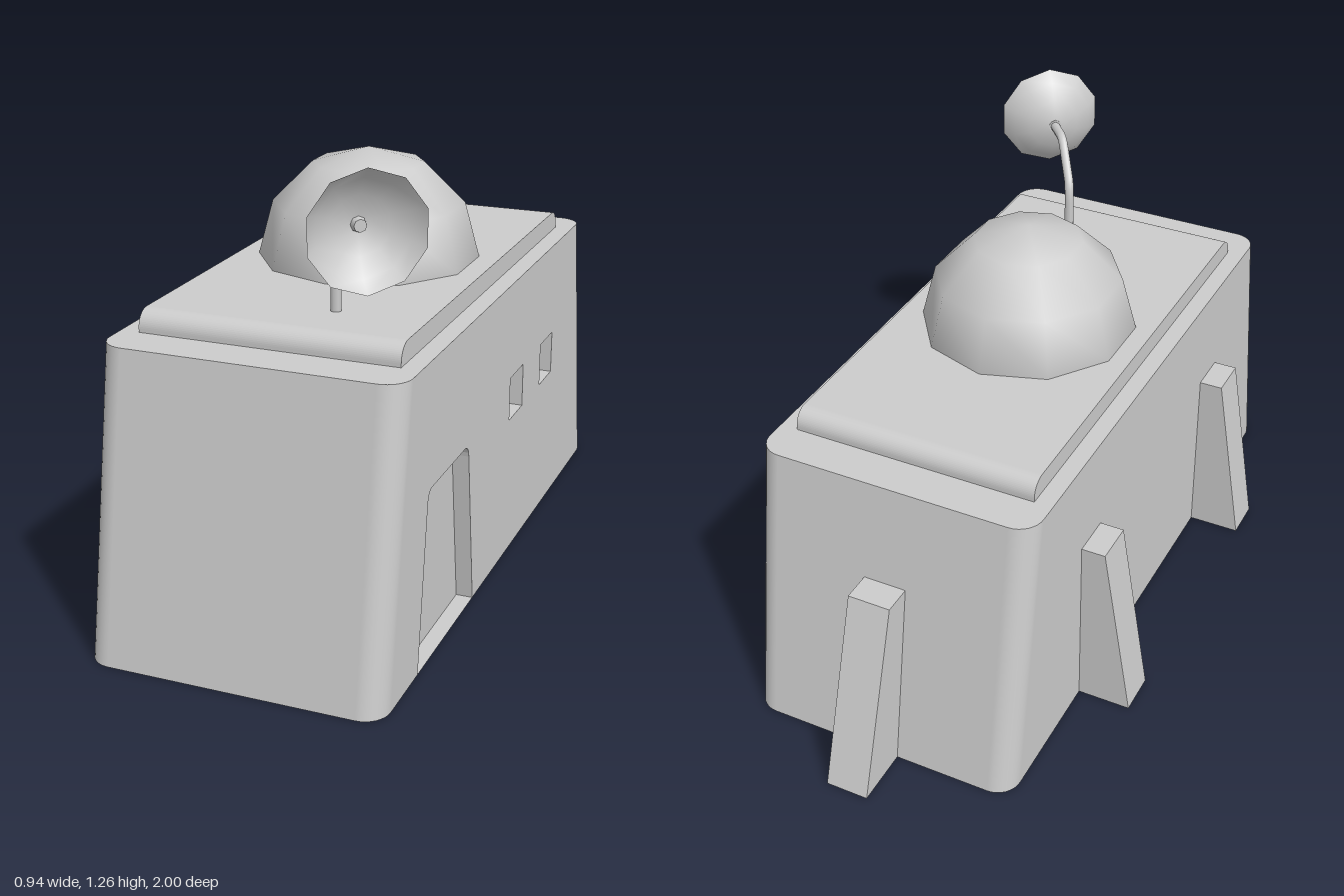
import * as THREE from 'three';

const grey = new THREE.MeshStandardMaterial({ color: 0xcccccc });
const greyDouble = new THREE.MeshStandardMaterial({ color: 0xcccccc, side: THREE.DoubleSide });

// Main building: rounded plan, front and back walls lean inward with height
const LEFT = 0.465, RIGHT = -0.32, H = 0.79, R = 0.065;
const frontZ = y => 1.0 - 0.13 * y / H;
const backZ = y => -0.84 + 0.14 * y / H;

function part(name, geometry, material = grey) {
  const mesh = new THREE.Mesh(geometry, material);
  mesh.name = name;
  return mesh;
}

const polygon = pts => new THREE.Shape(pts.map(p => new THREE.Vector2(...p)));

// Plan outline at height y as [x, z], running from the left wall round the front, right and back
function outline(y) {
  const corners = [
    [LEFT - R, frontZ(y) - R], [RIGHT + R, frontZ(y) - R],
    [RIGHT + R, backZ(y) + R], [LEFT - R, backZ(y) + R]];
  const pts = [];
  corners.forEach(([cx, cz], c) => {
    for (let i = 0; i <= 8; i++) {
      const a = (c + i / 8) * Math.PI / 2;
      pts.push([cx + R * Math.cos(a), cz + R * Math.sin(a)]);
    }
  });
  return pts;
}

// Walls other than the left one, lofted between the lower and upper outlines
function shellGeometry() {
  const low = outline(0), high = outline(H), pos = [], index = [];
  low.forEach((p, i) => {
    pos.push(p[0], 0, p[1], high[i][0], H, high[i][1]);
    if (i > 0) {
      const a = 2 * (i - 1), b = 2 * i;
      index.push(a, a + 1, b, b, a + 1, b + 1);
    }
  });
  const g = new THREE.BufferGeometry();
  g.setAttribute('position', new THREE.Float32BufferAttribute(pos, 3));
  g.setIndex(index);
  g.computeVertexNormals();
  // Blend the open ends into the flat left wall
  const n = g.attributes.normal, last = n.count;
  [0, 1, last - 2, last - 1].forEach(i => n.setXYZ(i, 1, 0, 0));
  return g;
}

function capGeometry(y) {
  const g = new THREE.ShapeGeometry(polygon(outline(y).map(([x, z]) => [x, -z])));
  return g.rotateX(-Math.PI / 2).translate(0, y, 0);
}

// Left wall, drawn in (-z, y), with a doorway notch and two window holes
function leftWall() {
  const depth = 0.045;
  const ends = [-frontZ(0) + R, -backZ(0) - R, -backZ(H) - R, -frontZ(H) + R];
  const wall = new THREE.Shape();
  wall.moveTo(ends[0], 0);
  wall.lineTo(-0.75, 0);
  wall.lineTo(-0.692, 0.43);
  wall.quadraticCurveTo(-0.687, 0.463, -0.66, 0.463);
  wall.lineTo(-0.41, 0.463);
  wall.quadraticCurveTo(-0.383, 0.463, -0.378, 0.43);
  wall.lineTo(-0.32, 0);
  wall.lineTo(ends[1], 0);
  wall.lineTo(ends[2], H);
  wall.lineTo(ends[3], H);
  wall.closePath();
  for (const u of [-0.02, 0.28]) {
    wall.holes.push(new THREE.Path([
      [u, 0.397], [u, 0.52], [u + 0.123, 0.52], [u + 0.123, 0.397]
    ].map(p => new THREE.Vector2(...p))));
  }
  const group = new THREE.Group();
  group.name = 'leftWall';
  group.add(part('wallWithOpenings',
    new THREE.ExtrudeGeometry(wall, { depth, bevelEnabled: false, curveSegments: 5 })));
  group.add(part('doorAndWindowPanels', new THREE.ShapeGeometry(
    polygon([[ends[0], 0], [ends[1], 0], [ends[2], H], [ends[3], H]]))));
  group.rotation.y = Math.PI / 2;
  group.position.x = LEFT - depth;
  return group;
}

// Roof slab: rounded upper edges at front and back, square sides
function roofSlab() {
  const x0 = -0.27, x1 = 0.415, top = 0.845, r = 0.045, u0 = -0.75, u1 = 0.585;
  const s = new THREE.Shape();
  s.moveTo(u0, H - 0.01);
  s.lineTo(u1, H - 0.01);
  s.lineTo(u1, top - r);
  s.absarc(u1 - r, top - r, r, 0, Math.PI / 2);
  s.absarc(u0 + r, top - r, r, Math.PI / 2, Math.PI);
  s.closePath();
  const g = new THREE.ExtrudeGeometry(s, { depth: x1 - x0, bevelEnabled: false, curveSegments: 8 });
  return part('roofSlab', g.rotateY(Math.PI / 2).translate(x0, 0, 0));
}

// Sloping buttress leaning outward along local +x, centred on its own width
function buttress(name, profile, width) {
  const g = new THREE.ExtrudeGeometry(polygon(profile), { depth: width, bevelEnabled: false });
  return part(name, g.translate(0, 0, -width / 2));
}

// Dish antenna on a bent stem
function antenna() {
  const group = new THREE.Group();
  group.name = 'antenna';
  const path = new THREE.CurvePath();
  const v = (x, y, z) => new THREE.Vector3(x, y, z);
  const a = v(0.177, 0.83, 0.567), b = v(0.177, 0.95, 0.567), c = v(0.185, 1.01, 0.58);
  const d = v(0.225, 1.085, 0.63), e = v(0.25, 1.11, 0.66), f = v(0.298, 1.11, 0.715);
  path.add(new THREE.LineCurve3(a, b));
  path.add(new THREE.QuadraticBezierCurve3(b, v(0.177, 0.99, 0.567), c));
  path.add(new THREE.LineCurve3(c, d));
  path.add(new THREE.QuadraticBezierCurve3(d, v(0.237, 1.11, 0.645), e));
  path.add(new THREE.LineCurve3(e, f));
  group.add(part('stem', new THREE.TubeGeometry(path, 28, 0.014, 8)));

  const profile = [[0, -0.08], [0.03, -0.077], [0.075, -0.062], [0.12, -0.034], [0.15, 0]]
    .map(p => new THREE.Vector2(...p));
  const dish = new THREE.Group();
  dish.name = 'dish';
  dish.add(part('bowl', new THREE.LatheGeometry(profile, 10).rotateX(Math.PI / 2), greyDouble));
  dish.add(part('hub', new THREE.CylinderGeometry(0.016, 0.02, 0.02, 8)
    .rotateX(Math.PI / 2).translate(0, 0, -0.07)));
  dish.position.set(0.34, 1.11, 0.77);
  dish.rotation.y = 0.665;
  group.add(dish);
  return group;
}

export function createModel() {
  const model = new THREE.Group();
  model.name = 'desertHouse';

  model.add(part('outerWalls', shellGeometry()));
  model.add(part('roof', capGeometry(H)));
  model.add(part('floor', capGeometry(0), greyDouble));
  model.add(leftWall(), roofSlab());

  // Low-sided dome
  const dome = part('dome', new THREE.SphereGeometry(0.3, 10, 3, 0, Math.PI * 2, 0, Math.PI / 2));
  dome.rotation.y = Math.PI / 10;
  dome.position.set(0.07, 0.845, 0.075);
  model.add(dome);

  // Two buttresses on the right wall, one on the back
  for (const z of [-0.347, 0.498]) {
    const side = buttress('rightButtress',
      [[0.3, 0], [0.47, 0], [0.387, 0.52], [0.3, 0.52]], 0.12);
    side.rotation.y = Math.PI;
    side.position.z = z;
    model.add(side);
  }
  const back = buttress('backButtress',
    [[0.8, 0], [1.0, 0], [0.828, 0.52], [0.72, 0.52]], 0.12);
  back.rotation.y = Math.PI / 2;
  back.position.x = 0.075;
  model.add(back);

  model.add(antenna());
  return model;
}
